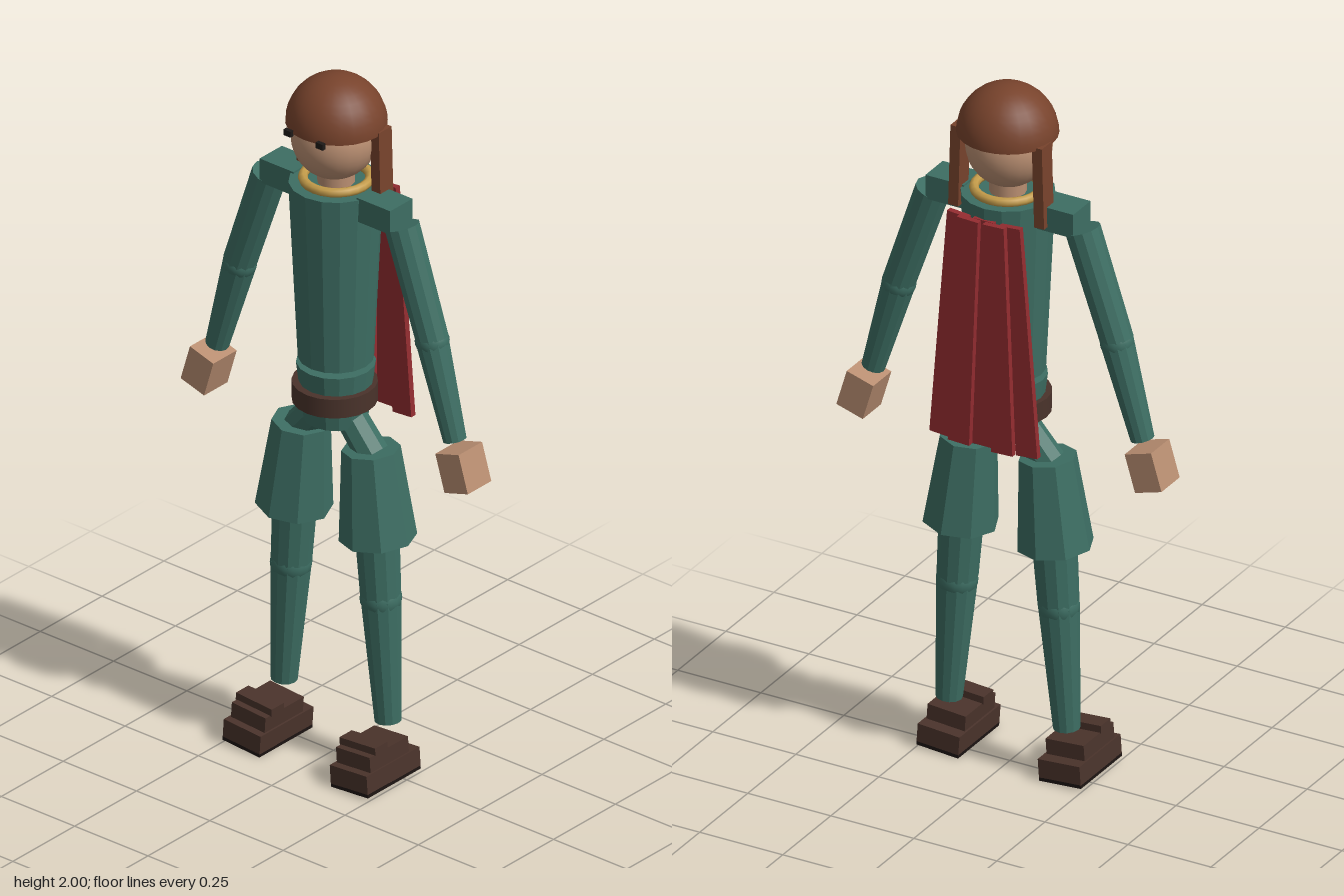
import * as THREE from 'three';

const mat = (color, extra = {}) => new THREE.MeshStandardMaterial({ color, ...extra });
const M = {
  cloth: mat(0x3d6e63, { flatShading: true }),
  joint: mat(0x3d6e63),
  skin: mat(0xba8f72),
  hair: mat(0x78432c, { side: THREE.DoubleSide }),
  leather: mat(0x4a332b),
  sole: mat(0x1c1412),
  cape: mat(0x932c30),
  gold: mat(0xc49c4a),
  eye: mat(0x1e1a18),
};
const Z = -0.01; // depth of the body axis

function add(parent, name, geometry, material, x = 0, y = 0, z = Z) {
  const mesh = new THREE.Mesh(geometry, material);
  mesh.name = name;
  mesh.position.set(x, y, z);
  parent.add(mesh);
  return mesh;
}

const box = (w, h, d) => new THREE.BoxGeometry(w, h, d);

// Tapered limb segment between two [x, y] points; a is the upper one
function limb(parent, name, a, b, ra, rb, sides = 12, material = M.cloth) {
  const dx = a[0] - b[0], dy = a[1] - b[1];
  const mesh = add(parent, name, new THREE.CylinderGeometry(ra, rb, Math.hypot(dx, dy), sides),
    material, (a[0] + b[0]) / 2, (a[1] + b[1]) / 2);
  mesh.rotation.z = -Math.atan2(dx, dy);
  return mesh;
}

const ball = (r) => new THREE.SphereGeometry(r, 16, 12);

function buildHead() {
  const head = new THREE.Group();
  head.name = 'head';
  add(head, 'face', new THREE.SphereGeometry(0.115, 24, 18), M.skin, 0, 1.825, -0.005);
  add(head, 'neck', new THREE.CylinderGeometry(0.05, 0.05, 0.09, 12), M.skin, 0, 1.71);
  add(head, 'hairCap', new THREE.SphereGeometry(0.136, 24, 10, 0, Math.PI * 2, 0, Math.PI / 2),
    M.hair, 0, 1.864, -0.012).scale.z = 0.97;
  const collar = add(head, 'collar', new THREE.TorusGeometry(0.088, 0.013, 8, 24), M.gold, 0, 1.7, -0.012);
  collar.rotation.x = Math.PI / 2;
  for (const s of [1, -1]) {
    add(head, 'eye', box(0.024, 0.017, 0.012), M.eye, s * 0.055, 1.865, 0.117);
    add(head, 'hairStrand', box(0.03, 0.235, 0.052), M.hair, s * 0.126, 1.755, -0.046).rotation.z = s * 0.03;
  }
  return head;
}

function buildTorso() {
  const torso = new THREE.Group();
  torso.name = 'torso';
  add(torso, 'chest', new THREE.CylinderGeometry(0.125, 0.1, 0.52, 16), M.cloth, 0, 1.43);
  add(torso, 'waist', new THREE.CylinderGeometry(0.105, 0.085, 0.165, 16), M.cloth, 0, 1.073);
  add(torso, 'belt', new THREE.CylinderGeometry(0.113, 0.113, 0.055, 20), M.leather, 0, 1.073, -0.005);
  return torso;
}

// Five overlapping pleats that fan outwards towards the hem
function buildCape() {
  const cape = new THREE.Group();
  cape.name = 'cape';
  for (let i = -2; i <= 2; i++) {
    const pleat = add(cape, 'capePleat', box(0.064, 0.665, 0.017), M.cape,
      i * 0.052, 1.325, i % 2 ? -0.147 : -0.13);
    pleat.rotation.z = i * 0.04;
  }
  return cape;
}

function buildArm(s) {
  const arm = new THREE.Group();
  arm.name = s > 0 ? 'leftArm' : 'rightArm';
  add(arm, 'shoulder', box(0.115, 0.07, 0.09), M.cloth, s * 0.165, 1.66);
  limb(arm, 'upperArm', [s * 0.225, 1.635], [s * 0.328, 1.335], 0.048, 0.045);
  add(arm, 'elbow', ball(0.046), M.joint, s * 0.328, 1.33);
  limb(arm, 'forearm', [s * 0.328, 1.33], [s * 0.405, 1.063], 0.045, 0.032);
  add(arm, 'hand', box(0.083, 0.11, 0.095), M.skin, s * 0.434, 0.99).rotation.z = s * 0.29;
  return arm;
}

function buildLeg(s) {
  const leg = new THREE.Group();
  leg.name = s > 0 ? 'leftLeg' : 'rightLeg';
  limb(leg, 'hip', [s * 0.04, 1.02], [s * 0.125, 0.92], 0.042, 0.045, 8);
  limb(leg, 'shortsLeg', [s * 0.119, 0.937], [s * 0.143, 0.68], 0.078, 0.103, 8);
  limb(leg, 'thigh', [s * 0.125, 0.92], [s * 0.152, 0.515], 0.066, 0.055);
  add(leg, 'knee', ball(0.056), M.joint, s * 0.153, 0.505);
  limb(leg, 'shin', [s * 0.153, 0.51], [s * 0.177, 0.15], 0.055, 0.036);

  // Stepped shoe, tilted to follow the leg
  const foot = new THREE.Group();
  foot.name = 'foot';
  foot.position.set(s * 0.185, 0.005, 0);
  foot.rotation.z = s * 0.07;
  add(foot, 'sole', box(0.126, 0.01, 0.214), M.sole, 0, 0.005, 0.048);
  add(foot, 'shoeBase', box(0.126, 0.054, 0.214), M.leather, 0, 0.036, 0.048);
  add(foot, 'shoeUpper', box(0.115, 0.046, 0.155), M.leather, 0, 0.084, 0.055);
  add(foot, 'shoeStrap', box(0.122, 0.022, 0.05), M.leather, 0, 0.116, 0.088);
  leg.add(foot);
  return leg;
}

export function createModel() {
  const model = new THREE.Group();
  model.name = 'caped figure';
  model.add(buildHead(), buildTorso(), buildCape());
  for (const s of [1, -1]) model.add(buildArm(s), buildLeg(s));
  return model;
}
